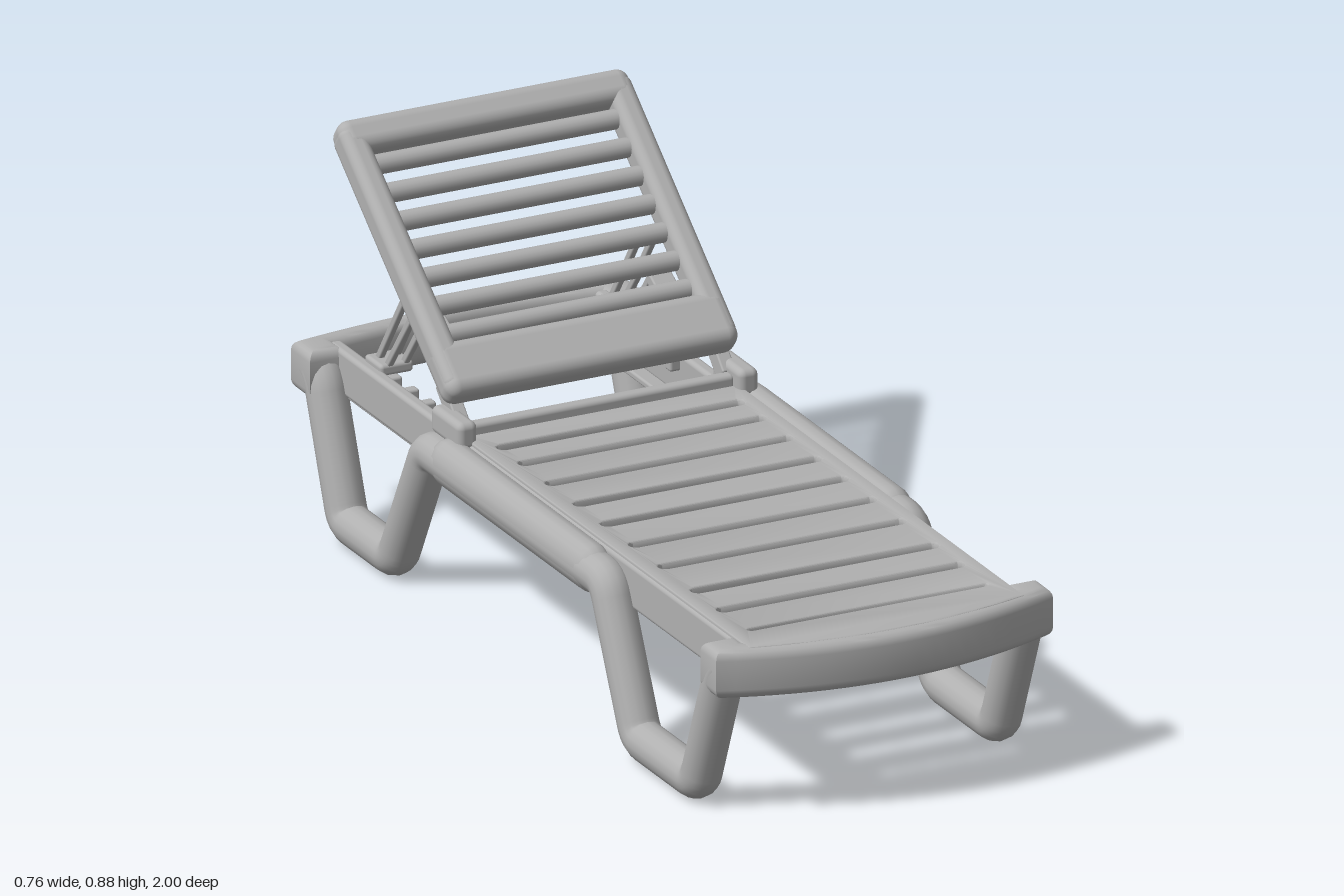
import * as THREE from 'three';
import { toCreasedNormals } from 'three/addons/utils/BufferGeometryUtils.js';
import { RoundedBoxGeometry } from 'three/addons/geometries/RoundedBoxGeometry.js';

const plastic = new THREE.MeshStandardMaterial({ color: 0xb0b0b0 });
plastic.name = 'greyPlastic';

function add(parent, name, geometry, x = 0, y = 0, z = 0) {
  const mesh = new THREE.Mesh(geometry, plastic);
  mesh.name = name;
  mesh.position.set(x, y, z);
  parent.add(mesh);
  return mesh;
}

const box = (w, h, d, r = 0.01) => new RoundedBoxGeometry(w, h, d, 3, r);

// Horizontal slab from a plan outline (shape y = model z), top at y = 0
function slab(shape, height, bevel) {
  const geo = new THREE.ExtrudeGeometry(shape, {
    depth: height - 2 * bevel, bevelThickness: bevel, bevelSize: bevel,
    bevelOffset: -bevel, bevelSegments: 4, curveSegments: 20,
  });
  geo.translate(0, 0, bevel);
  geo.rotateX(Math.PI / 2);
  return toCreasedNormals(geo, 0.7);
}

// Polyline in the side plane with rounded corners
function roundedPath(points, radius) {
  const v = points.map(([z, y]) => new THREE.Vector3(0, y, z));
  const path = new THREE.CurvePath();
  let from = v[0];
  for (let i = 1; i < v.length - 1; i++) {
    const a = v[i].clone().add(v[i - 1].clone().sub(v[i]).setLength(radius));
    const b = v[i].clone().add(v[i + 1].clone().sub(v[i]).setLength(radius));
    path.add(new THREE.LineCurve3(from, a));
    path.add(new THREE.QuadraticBezierCurve3(a, v[i], b));
    from = b;
  }
  path.add(new THREE.LineCurve3(from, v[v.length - 1]));
  return path;
}

// Bowed bar with two short returns that meet the legs
function endBar(outerZ, outerCtrl, innerZ, innerCtrl, cornerZ) {
  const s = new THREE.Shape();
  s.moveTo(-0.38, cornerZ);
  s.lineTo(-0.38, outerZ);
  s.quadraticCurveTo(0, outerCtrl, 0.38, outerZ);
  s.lineTo(0.38, cornerZ);
  s.lineTo(0.3, cornerZ);
  s.lineTo(0.3, innerZ);
  s.quadraticCurveTo(0, innerCtrl, -0.3, innerZ);
  s.lineTo(-0.3, cornerZ);
  s.closePath();
  return slab(s, 0.107, 0.022);
}

// Flat strut between two points in the side plane
function strut(parent, name, x, [z1, y1], [z2, y2], width, thick) {
  const len = Math.hypot(z2 - z1, y2 - y1);
  const mesh = add(parent, name, box(width, len, thick, 0.004), x, (y1 + y2) / 2, (z1 + z2) / 2);
  mesh.rotation.x = Math.atan2(z2 - z1, y2 - y1);
}

export function createModel() {
  const model = new THREE.Group();
  model.name = 'sunLounger';

  // Deck with slots
  const slots = [-0.25, -0.155, -0.035, 0.09, 0.21, 0.335, 0.465, 0.61, 0.725, 0.845];
  const deck = new THREE.Shape();
  deck.moveTo(-0.31, -0.35);
  deck.lineTo(0.31, -0.35);
  deck.lineTo(0.31, 0.93);
  deck.quadraticCurveTo(0, 1.02, -0.31, 0.93);
  deck.closePath();
  slots.forEach((z) => {
    const h = z > 0.8 ? 0.007 : 0.015, w = 0.262;
    const hole = new THREE.Path();
    hole.moveTo(-w, z - h);
    hole.lineTo(w, z - h);
    hole.absarc(w, z, h, -Math.PI / 2, Math.PI / 2, false);
    hole.lineTo(-w, z + h);
    hole.absarc(-w, z, h, Math.PI / 2, Math.PI * 1.5, false);
    deck.holes.push(hole);
    // Downturned rims under each slot
    for (const s of [-1, 1]) {
      add(model, 'slatRim', box(0.56, 0.05, 0.012, 0.004), 0, 0.348, z + s * (h + 0.009));
    }
  });
  add(model, 'deck', slab(deck, 0.03, 0.006), 0, 0.392, 0);
  add(model, 'deckBackLip', box(0.6, 0.045, 0.03), 0, 0.393, -0.345);

  // Bowed ends
  add(model, 'frontBar', endBar(0.92, 1.075, 0.885, 1.01, 0.85), 0, 0.39, 0);
  add(model, 'backBar', endBar(-0.965, -1.03, -0.925, -0.975, -0.88), 0, 0.388, 0);

  // Side frames: one bent tube makes both legs and the rail
  const legPath = roundedPath([
    [0.9, 0.345], [0.875, 0.325], [0.765, 0.047], [0.505, 0.047], [0.365, 0.337],
    [-0.425, 0.337], [-0.575, 0.047], [-0.795, 0.047], [-0.9, 0.325], [-0.925, 0.34],
  ], 0.03);
  const legTube = new THREE.TubeGeometry(legPath, 220, 0.043, 16, false);
  const railTube = new THREE.CapsuleGeometry(0.052, 0.62, 6, 16);
  railTube.rotateX(Math.PI / 2);
  railTube.scale(0.82, 1, 1);
  for (const s of [-1, 1]) {
    const side = new THREE.Group();
    side.name = s > 0 ? 'leftSide' : 'rightSide';
    model.add(side);
    add(side, 'legTube', legTube, s * 0.338, 0, 0);
    add(side, 'middleRail', railTube, s * 0.338, 0.338, -0.025);
    add(side, 'innerRail', box(0.03, 0.095, 1.84), s * 0.3, 0.337, -0.01);
    add(side, 'railFoot', box(0.05, 0.015, 0.5, 0.005), s * 0.28, 0.288, -0.64);

    // Hinge and notches for the backrest prop
    add(side, 'hingeBlock', box(0.045, 0.06, 0.13, 0.015), s * 0.317, 0.403, -0.365);
    strut(side, 'hingeArm', s * 0.3, [-0.37, 0.4], [-0.44, 0.47], 0.03, 0.04);
    for (let i = 0; i < 4; i++) {
      add(side, 'notch', box(0.03, 0.035, 0.025, 0.006), s * 0.278, 0.365, -0.56 - i * 0.075);
    }

    // Prop struts
    for (const dx of [0.235, 0.272]) {
      strut(side, 'propStrut', s * dx, [-0.79, 0.385], [-0.64, 0.605], 0.014, 0.016);
      strut(side, 'propStrut', s * dx, [-0.75, 0.385], [-0.605, 0.575], 0.014, 0.016);
    }
    add(side, 'propFoot', box(0.075, 0.025, 0.075, 0.008), s * 0.258, 0.385, -0.77);
    strut(side, 'propBracket', s * 0.255, [-0.48, 0.49], [-0.59, 0.55], 0.05, 0.025);
  }

  // Reclined backrest, built upright: y runs up its slope
  const back = new THREE.Group();
  back.name = 'backrest';
  back.position.set(0, 0.457, -0.37);
  back.rotation.x = -THREE.MathUtils.degToRad(51.8);
  model.add(back);
  const length = 0.66;
  add(back, 'topBar', box(0.655, 0.075, 0.072, 0.026), 0, length - 0.0375, 0);
  add(back, 'bottomBar', box(0.66, 0.125, 0.072, 0.028), 0, 0.0625, 0);
  for (const s of [-1, 1]) {
    add(back, 'sideBar', box(0.058, length - 0.03, 0.07, 0.022), s * 0.3, length / 2, 0);
  }
  const slat = new THREE.CylinderGeometry(0.021, 0.021, 0.56, 16);
  slat.rotateZ(Math.PI / 2);
  for (let i = 0; i < 7; i++) add(back, 'backSlat', slat, 0, 0.15 + i * 0.068, 0);

  return model;
}
